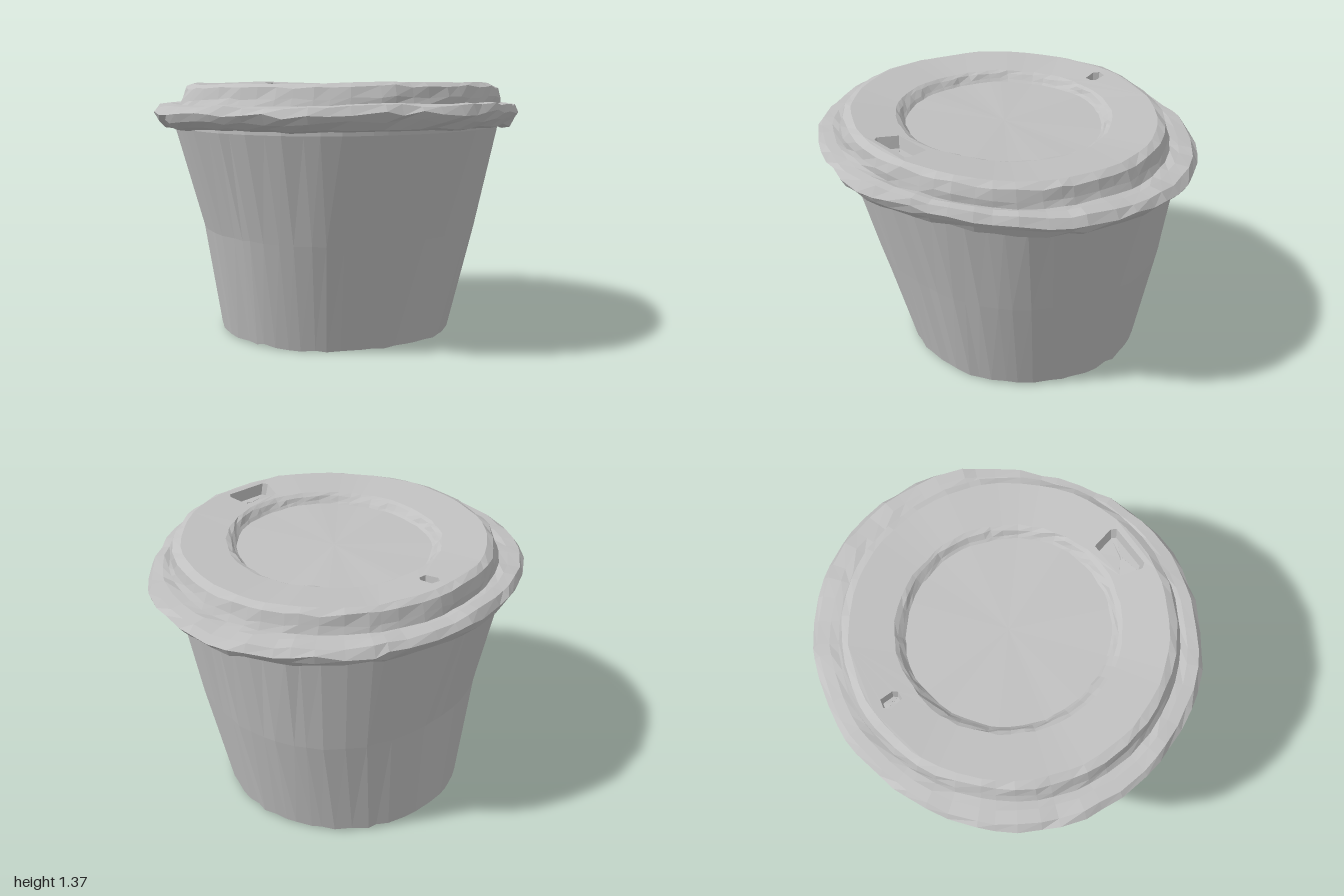
import * as THREE from 'three';
import { mergeGeometries } from 'three/addons/utils/BufferGeometryUtils.js';

const N = 56;
const grey = new THREE.MeshStandardMaterial({ color: 0xc0c0c0 });
grey.name = 'grey';

// Repeatable noise from -1 to 1
const noise = (i, seed) => {
  const s = Math.sin(i * 12.9898 + seed * 78.233) * 43758.5453;
  return (s - Math.floor(s)) * 2 - 1;
};

// Gentle tilt and sag of the lid
const warp = (x, z) => {
  const a = Math.atan2(z, x), r = Math.hypot(x, z);
  return 0.023 * z - 0.02 * x + r * (0.004 * Math.sin(7 * a) - 0.009 * Math.cos(2 * a));
};

// Bent outline of the lid rim: radius every 22.5 degrees, from +x towards +z
const rimRadii = [1.0, 0.98, 0.925, 0.915, 0.945, 0.945, 0.97, 0.97,
  0.99, 1.0, 0.985, 0.95, 0.95, 0.96, 0.99, 1.01];
const rimRadius = (i) => {
  const t = (i / N) * 16, k = Math.floor(t);
  return THREE.MathUtils.lerp(rimRadii[k], rimRadii[(k + 1) % 16], t - k);
};

// Irregular closed ring of points; bulge pushes the diagonals outwards
function ring({ r, y, rz = r, cx = 0, cz = 0, seed = 1, jr = 0, jy = 0, bulge = 0, lid = false }) {
  return Array.from({ length: N }, (_, i) => {
    const a = ((i + 0.3 * noise(i, 5)) / N) * Math.PI * 2;
    const k = 1 + jr * noise(i, seed) + jr * 0.4 * Math.sin(5 * a + seed)
      + bulge * ((1 - Math.cos(4 * a)) / 2 - 0.6 * Math.sin(2 * a));
    const x = cx + Math.cos(a) * r * k, z = cz + Math.sin(a) * rz * k;
    return new THREE.Vector3(x, y + jy * noise(i, seed + 9) + (lid ? warp(x, z) : 0), z);
  });
}

// Faceted skin between successive loops
function loft(loops) {
  const pos = [];
  const tri = (a, b, c) => {
    const area = b.clone().sub(a).cross(c.clone().sub(a)).length();
    if (area > 1e-9) pos.push(...a, ...b, ...c);
  };
  for (let i = 0; i + 1 < loops.length; i++) {
    const lo = loops[i], up = loops[i + 1], n = lo.length;
    for (let j = 0; j < n; j++) {
      const k = (j + 1) % n;
      tri(lo[j], up[j], lo[k]);
      tri(lo[k], up[j], up[k]);
    }
  }
  const g = new THREE.BufferGeometry();
  g.setAttribute('position', new THREE.Float32BufferAttribute(pos, 3));
  g.computeVertexNormals();
  return g;
}

export function createModel() {
  const model = new THREE.Group();
  model.name = 'liddedCup';
  const add = (name, geometry, parent) => {
    const m = new THREE.Mesh(geometry, grey);
    m.name = name;
    parent.add(m);
  };

  // Cup: lopsided tapered wall, foot ring and sunken base
  const cup = new THREE.Group();
  cup.name = 'cup';
  model.add(cup);
  const foot = { cx: 0.038, cz: -0.12 };
  const footEdge = ring({ ...foot, r: 0.624, y: 0.01, seed: 2, jr: 0.008, jy: 0.008, bulge: 0.008 });
  const footInner = ring({ ...foot, r: 0.52, y: 0.01, seed: 3, jr: 0.012, jy: 0.005 });
  const baseEdge = ring({ ...foot, r: 0.5, y: 0.06, seed: 3, jr: 0.012 });
  add('cupWall', loft([
    footEdge,
    ring({ cx: 0.035, cz: -0.072, r: 0.737, rz: 0.708, y: 0.575, seed: 2, jr: 0.007, jy: 0.004, bulge: 0.037 }),
    ring({ cx: 0.003, cz: -0.047, r: 0.87, rz: 0.825, y: 1.12, seed: 4, jr: 0.006, bulge: 0.018 }),
    ring({ cx: 0.003, cz: -0.045, r: 0.87, rz: 0.825, y: 1.17, seed: 4, jr: 0.006, bulge: 0.018 }),
  ]), cup);
  add('footRing', loft([baseEdge, footInner, footEdge]), cup);
  add('cupBase', loft([ring({ ...foot, r: 0, y: 0.06 }), baseEdge]), cup);

  // Lid: crimped rim, raised step, gently dished ring and round recess
  const lid = new THREE.Group();
  lid.name = 'lid';
  model.add(lid);

  // Rim rings take on the bent outline the further out they lie
  const rimRing = (r, y, seed, jr, jy) => {
    const w = THREE.MathUtils.clamp((r - 0.84) / 0.14, 0, 1);
    return ring({ r, rz: r * 0.975, y, seed, jr, jy, lid: true }).map((p, i) => {
      const k = THREE.MathUtils.lerp(1, (rimRadius(i) - 0.985 + r) / Math.hypot(p.x, p.z), w);
      const wobble = 1 + jr * 0.7 * w * noise(i, seed);
      return new THREE.Vector3(p.x * k * wobble, p.y, p.z * k * wobble);
    });
  };
  const groove = rimRing(0.86, 1.235, 15, 0.005, 0.005);
  add('lidRim', loft([
    rimRing(0.8, 1.15, 10, 0.003, 0),
    rimRing(0.87, 1.115, 11, 0.005, 0.006),
    rimRing(0.925, 1.125, 11, 0.008, 0.01),
    rimRing(0.965, 1.158, 12, 0.009, 0.012),
    rimRing(0.987, 1.195, 13, 0.008, 0.012),
    rimRing(0.96, 1.232, 14, 0.009, 0.008),
    rimRing(0.9, 1.238, 14, 0.007, 0.006),
    groove,
  ]), lid);

  // Height of the ring surface, falling towards the recess
  const topHeight = (x, z) => 1.34 - 0.09 * Math.max(0, 0.78 - Math.hypot(x, z)) + warp(x, z);
  const settle = (p) => p.setY(topHeight(p.x, p.z));
  const topOuter = ring({ r: 0.785, rz: 0.78, y: 0, seed: 18, jr: 0.005 }).map(settle);
  const topInner = ring({ r: 0.55, rz: 0.56, y: 0, seed: 19, jr: 0.01 }).map(settle);
  add('lidStep', loft([
    groove,
    ring({ r: 0.843, rz: 0.832, y: 1.268, seed: 16, jr: 0.007, jy: 0.008, lid: true }),
    ring({ r: 0.826, rz: 0.816, y: 1.32, seed: 17, jr: 0.006, jy: 0.007, lid: true }),
    topOuter,
  ]), lid);

  const recessEdge = ring({ r: 0.495, rz: 0.512, y: 1.272, seed: 21, jr: 0.01, lid: true });
  add('recessWall', loft([
    topInner,
    ring({ r: 0.53, rz: 0.542, y: 1.308, seed: 20, jr: 0.012, jy: 0.005, lid: true }),
    ring({ r: 0.508, rz: 0.525, y: 1.285, seed: 21, jr: 0.01, jy: 0.004, lid: true }),
    recessEdge,
  ]), lid);
  add('recessFloor', loft([recessEdge, ring({ r: 0, y: 1.272 })]), lid);

  // Drinking opening at the front, small vent at the back
  const openings = {
    drinkOpening: [[0.11, 0.735], [-0.12, 0.735], [-0.138, 0.71], [-0.105, 0.6], [0.1, 0.595], [0.125, 0.71]],
    ventHole: [[0.035, -0.65], [0.018, -0.628], [-0.022, -0.63], [-0.036, -0.7], [-0.015, -0.73], [0.03, -0.72]],
  };

  // Ring surface in sectors; the front and back sectors are pierced
  const sector = (from, to, hole) => {
    const span = (pts) => Array.from({ length: to - from + 1 }, (_, i) => pts[(from + i) % N]);
    const outline = [...span(topOuter), ...span(topInner).reverse()];
    const shape = new THREE.Shape(outline.map((p) => new THREE.Vector2(p.x, -p.z)));
    if (hole) shape.holes = [new THREE.Path(hole.map(([x, z]) => new THREE.Vector2(x, -z)))];
    return new THREE.ShapeGeometry(shape).rotateX(-Math.PI / 2);
  };
  const sectors = [sector(10, 18, openings.drinkOpening), sector(38, 46, openings.ventHole)];
  for (let i = 18; i < 38; i++) sectors.push(sector(i, i + 1), sector((i + 28) % N, ((i + 28) % N) + 1));
  const top = mergeGeometries(sectors).toNonIndexed();
  const p = top.attributes.position;
  for (let i = 0; i < p.count; i++) p.setY(i, topHeight(p.getX(i), p.getZ(i)));
  top.computeVertexNormals();
  add('lidTop', top, lid);

  // Shallow wells beneath the openings
  for (const [name, o] of Object.entries(openings)) {
    const mx = o.reduce((s, q) => s + q[0], 0) / o.length;
    const mz = o.reduce((s, q) => s + q[1], 0) / o.length;
    const loop = (k, drop) => o.map(([x, z]) =>
      new THREE.Vector3(mx + (x - mx) * k, topHeight(x, z) - drop, mz + (z - mz) * k));
    add(name, loft([loop(1, 0), loop(0.85, 0.06), loop(0, 0.06)]), lid);
  }
  return model;
}
